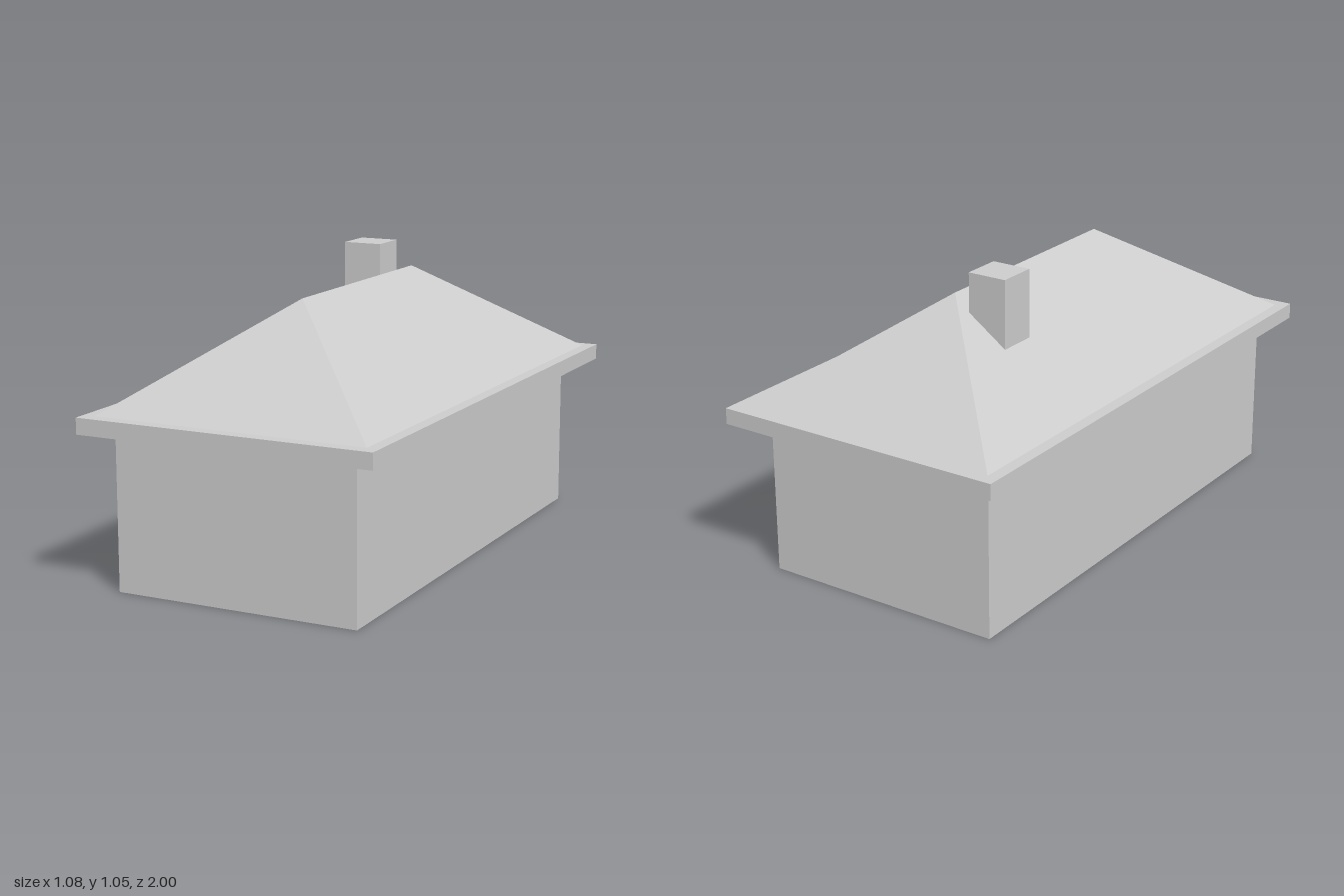
import * as THREE from 'three';

const grey = new THREE.MeshStandardMaterial({ color: 0xcccccc, side: THREE.DoubleSide });
grey.name = 'plainGrey';

// Rectangle as corner list [x, z], counter-clockwise seen from above
const rect = (x0, x1, z0, z1) => [[x0, z1], [x1, z1], [x1, z0], [x0, z0]];

const WALL = rect(-0.455, 0.435, -0.893, 0.898);
const EAVE = rect(-0.54, 0.54, -1, 1);
const ROOF = rect(-0.497, 0.497, -0.955, 0.955);
const FLOOR = 0, SOFFIT = 0.555, EAVE_TOP = 0.612, RIDGE = 0.963;

// Four flat panels joining a lower rectangle to an upper one
function band(name, lower, yLow, upper, yHigh) {
  const pos = [];
  for (let i = 0; i < 4; i++) {
    const j = (i + 1) % 4;
    const at = (loop, k, y) => [loop[k][0], y, loop[k][1]];
    const a = at(lower, i, yLow), b = at(lower, j, yLow);
    const c = at(upper, j, yHigh), d = at(upper, i, yHigh);
    pos.push(...a, ...b, ...c);
    // hip ends close to a point, so their second triangle is left out
    if (c[0] !== d[0] || c[2] !== d[2]) pos.push(...a, ...c, ...d);
  }
  const geo = new THREE.BufferGeometry();
  geo.setAttribute('position', new THREE.Float32BufferAttribute(pos, 3));
  geo.computeVertexNormals();
  const mesh = new THREE.Mesh(geo, grey);
  mesh.name = name;
  return mesh;
}

// Brick stack with its foot cut along the roof slope
function chimney() {
  const x0 = -0.217, x1 = -0.072, z0 = -0.455, z1 = -0.312, top = 1.053;
  const slopeY = x => EAVE_TOP + (RIDGE - EAVE_TOP) * (1 - Math.abs(x) / 0.497) - 0.004;
  const side = new THREE.Shape([
    new THREE.Vector2(x0, slopeY(x0)), new THREE.Vector2(x1, slopeY(x1)),
    new THREE.Vector2(x1, top), new THREE.Vector2(x0, top),
  ]);
  const geo = new THREE.ExtrudeGeometry(side, { depth: z1 - z0, bevelEnabled: false });
  geo.translate(0, 0, z0);
  const mesh = new THREE.Mesh(geo, grey);
  mesh.name = 'chimney';
  return mesh;
}

export function createModel() {
  const house = new THREE.Group();
  house.name = 'house';

  // Walls, open at the floor
  house.add(band('walls', WALL, FLOOR, WALL, SOFFIT));

  // Hollow eave: underside, outer edge and top ledge
  const eave = new THREE.Group();
  eave.name = 'eave';
  eave.add(
    band('eaveUnderside', WALL, SOFFIT, EAVE, SOFFIT),
    band('eaveEdge', EAVE, SOFFIT, EAVE, EAVE_TOP),
    band('eaveLedge', EAVE, EAVE_TOP, ROOF, EAVE_TOP),
  );
  house.add(eave);

  // Hipped roof rising to a ridge along z
  const ridge = rect(0, 0, -0.435, 0.435);
  house.add(band('hippedRoof', ROOF, EAVE_TOP, ridge, RIDGE));

  house.add(chimney());
  return house;
}
